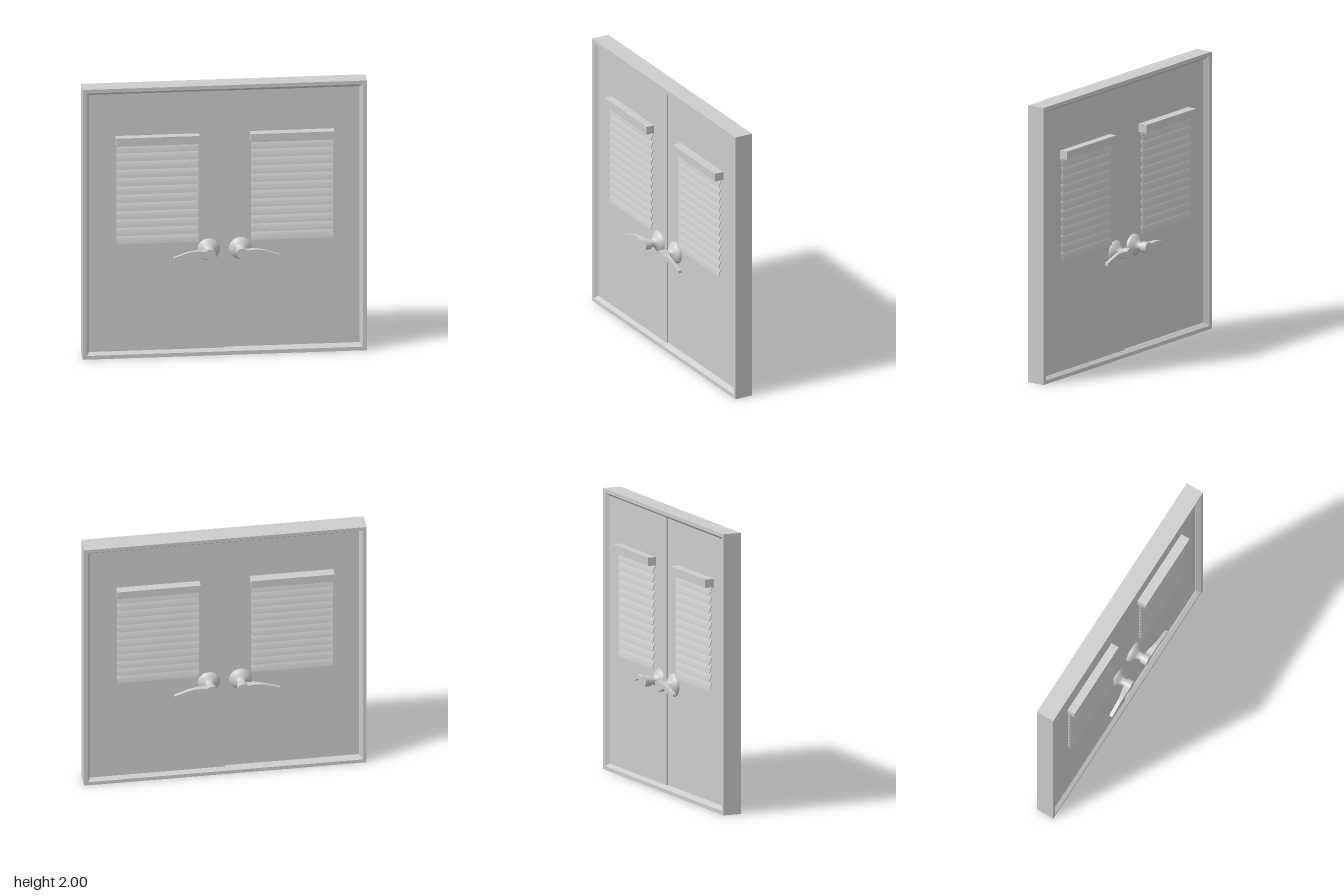
import * as THREE from 'three';
import { toCreasedNormals } from 'three/addons/utils/BufferGeometryUtils.js';

const paint = new THREE.MeshStandardMaterial({ color: 0xcccccc });
paint.name = 'light grey';

function part(name, geometry, parent, x = 0, y = 0, z = 0) {
  const mesh = new THREE.Mesh(geometry, paint);
  mesh.name = name;
  mesh.position.set(x, y, z);
  parent.add(mesh);
  return mesh;
}

const points = (list) => list.map(([a, b]) => new THREE.Vector2(a, b));

// Square frame: a four-sided lathe with a sloped reveal on both faces
function frameGeometry() {
  const profile = [[1, -0.067], [1, 0.067], [0.973, 0.067], [0.95, 0.037],
    [0.95, -0.037], [0.973, -0.067], [1, -0.067]];
  const g = new THREE.LatheGeometry(points(profile.map(([r, z]) => [r * Math.SQRT2, z])), 4, Math.PI / 4)
    .rotateX(Math.PI / 2).toNonIndexed();
  g.computeVertexNormals();
  return g;
}

// One curved slat: profile in (z, y), extruded along x
function slatGeometry(width) {
  const s = new THREE.Shape();
  s.moveTo(0.046, 0.0613);
  s.quadraticCurveTo(0.06, 0.038, 0.065, 0);
  s.lineTo(0.061, 0);
  s.quadraticCurveTo(0.055, 0.036, 0.041, 0.0613);
  s.closePath();
  const g = new THREE.ExtrudeGeometry(s, { depth: width, bevelEnabled: false, curveSegments: 5 });
  g.translate(0, 0, -width / 2).rotateY(-Math.PI / 2);
  // the turn sends the profile's first axis to +z
  return toCreasedNormals(g, 0.6);
}

// Lever lofted through rectangular sections [reach, top, bottom, back]
function leverGeometry(side) {
  const front = 0.167;
  const sections = [
    [0, 0.03, -0.03, 0.122], [0.04, 0.024, -0.028, 0.122], [0.07, 0.027, -0.012, 0.126],
    [0.1, 0.029, 0, 0.134], [0.13, 0.026, -0.012, 0.14], [0.16, 0.02, -0.022, 0.142],
    [0.262, -0.015, -0.034, 0.142],
  ];
  const rings = sections.map(([x, top, bottom, back]) => [
    [side * x, top, front], [side * x, bottom, front], [side * x, bottom, back], [side * x, top, back],
  ]);
  const pos = [];
  const quad = (a, b, c, d) => {
    const order = side > 0 ? [a, b, c, a, c, d] : [a, c, b, a, d, c];
    order.forEach((p) => pos.push(...p));
  };
  for (let i = 0; i < rings.length - 1; i++) {
    for (let j = 0; j < 4; j++) {
      const k = (j + 1) % 4;
      quad(rings[i][j], rings[i][k], rings[i + 1][k], rings[i + 1][j]);
    }
  }
  const [a, b, c, d] = rings[rings.length - 1];
  quad(a, b, c, d);
  const [e, f, g0, h] = rings[0];
  quad(h, g0, f, e);
  const g = new THREE.BufferGeometry();
  g.setAttribute('position', new THREE.Float32BufferAttribute(pos, 3));
  return toCreasedNormals(g, 0.4);
}

function makeHandle(side) {
  const handle = new THREE.Group();
  handle.name = 'handle';
  // domed rose flowing into the neck
  const rose = new THREE.LatheGeometry(points([[0.08, 0.03], [0.08, 0.043], [0.073, 0.054],
    [0.058, 0.066], [0.042, 0.076], [0.031, 0.086], [0.028, 0.1], [0.028, 0.125]]), 32);
  part('rose', toCreasedNormals(rose.rotateX(Math.PI / 2), 0.7), handle);
  const hub = new THREE.CylinderGeometry(0.039, 0.039, 0.047, 28).rotateX(Math.PI / 2);
  part('hub', hub, handle, 0, 0, 0.1435);
  part('lever', leverGeometry(side), handle);
  return handle;
}

function makeBlind() {
  const blind = new THREE.Group();
  blind.name = 'blind';
  part('headRail', new THREE.BoxGeometry(0.588, 0.06, 0.07), blind, 0, 1.612, 0.065);
  const slat = slatGeometry(0.578);
  for (let i = 0; i < 12; i++) part('slat', slat, blind, 0, 0.845 + i * 0.0613, 0);
  return blind;
}

// Blinds and handles for one face of the doors
function makeFittings(name) {
  const fittings = new THREE.Group();
  fittings.name = name;
  for (const side of [-1, 1]) {
    const blind = makeBlind();
    blind.position.x = side * 0.474;
    const handle = makeHandle(side);
    handle.position.set(side * 0.112, 0.78, 0);
    fittings.add(blind, handle);
  }
  return fittings;
}

export function createModel() {
  const model = new THREE.Group();
  model.name = 'doubleDoor';
  part('frame', frameGeometry(), model, 0, 1, 0);

  // two leaves, slightly offset in depth where they meet
  for (const side of [-1, 1]) {
    part(side > 0 ? 'leftDoor' : 'rightDoor', new THREE.BoxGeometry(0.955, 1.91, 0.072),
      model, side * 0.4775, 1, -side * 0.005);
  }

  const back = makeFittings('backFittings');
  back.rotation.y = Math.PI;
  model.add(makeFittings('frontFittings'), back);
  return model;
}
